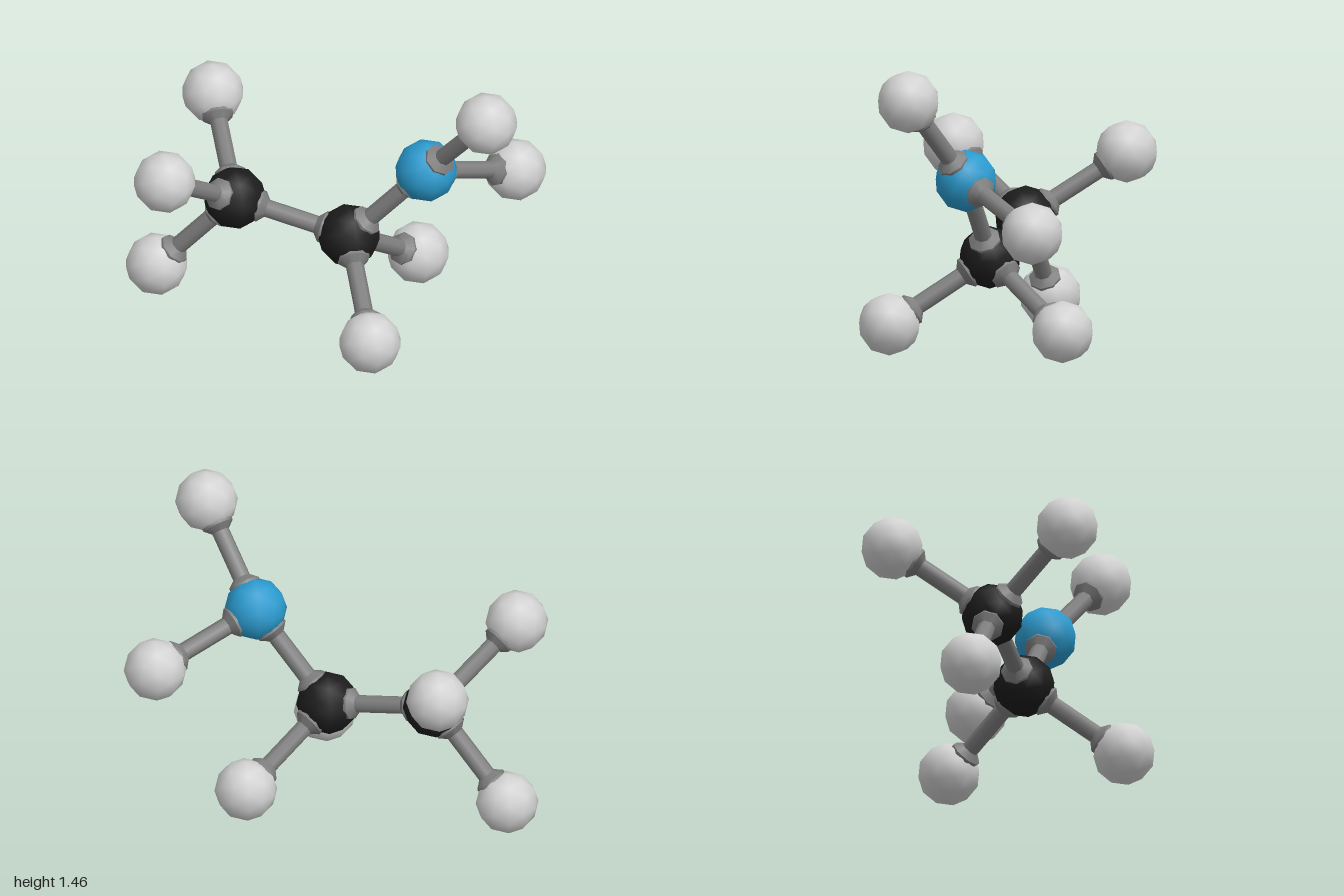
import * as THREE from 'three';

const RADIUS = 0.152;

export function createModel() {
  const model = new THREE.Group();
  const mat = (name, color) => {
    const m = new THREE.MeshStandardMaterial({ color });
    m.name = name;
    return m;
  };
  const black = mat('black', 0x1c1c1c);
  const blue = mat('blue', 0x2b9bcf);
  const white = mat('pale grey', 0xd2d2d2);
  const grey = mat('bond grey', 0x808080);

  // Atoms: name, material, position
  const atoms = {
    carbonA: [black, -0.46, 0.59, 0],
    carbonB: [black, 0.11, 0.47, 0],
    nitrogen: [blue, 0.495, 0.895, 0],
    hydrogenA1: [white, -0.69, 0.895, 0.437],
    hydrogenA2: [white, -0.69, 0.895, -0.437],
    hydrogenA3: [white, -0.85, 0.157, 0],
    hydrogenB1: [white, 0.335, 0.157, 0.437],
    hydrogenB2: [white, 0.335, 0.157, -0.437],
    hydrogenN1: [white, 0.845, 1.317, 0.18],
    hydrogenN2: [white, 0.82, 0.70, -0.437],
  };
  const sphere = new THREE.IcosahedronGeometry(RADIUS, 1);
  const centre = {};
  for (const [name, [material, x, y, z]] of Object.entries(atoms)) {
    const mesh = new THREE.Mesh(sphere, material);
    mesh.name = name;
    mesh.position.set(x, y, z);
    centre[name] = mesh.position;
    model.add(mesh);
  }

  // Collar: short rim on the atom, tapering onto the shaft
  const rim = new THREE.CylinderGeometry(0.079, 0.079, 0.014, 8).translate(0, 0.129, 0);
  const taper = new THREE.CylinderGeometry(0.044, 0.079, 0.03, 8, 1, true).translate(0, 0.151, 0);
  const up = new THREE.Vector3(0, 1, 0);

  // Bond: shaft with a mirrored collar at each end
  const addBond = (from, to) => {
    const a = centre[from], b = centre[to];
    const dir = b.clone().sub(a);
    const length = dir.length();
    const bond = new THREE.Group();
    bond.name = `bond ${from} to ${to}`;
    bond.position.copy(a);
    bond.quaternion.setFromUnitVectors(up, dir.normalize());
    const shaft = new THREE.Mesh(
      new THREE.CylinderGeometry(0.044, 0.044, length - 0.2, 8, 1, true), grey);
    shaft.name = 'shaft';
    shaft.position.y = length / 2;
    bond.add(shaft);
    for (const end of [0, 1]) {
      const collar = new THREE.Group();
      collar.name = 'collar';
      collar.add(new THREE.Mesh(rim, grey), new THREE.Mesh(taper, grey));
      collar.children[0].name = 'collarRim';
      collar.children[1].name = 'collarTaper';
      if (end) {
        collar.position.y = length;
        collar.rotation.x = Math.PI;
      }
      bond.add(collar);
    }
    model.add(bond);
  };

  addBond('carbonA', 'carbonB');
  addBond('carbonB', 'nitrogen');
  for (const i of [1, 2, 3]) addBond('carbonA', `hydrogenA${i}`);
  for (const i of [1, 2]) {
    addBond('carbonB', `hydrogenB${i}`);
    addBond('nitrogen', `hydrogenN${i}`);
  }
  return model;
}
